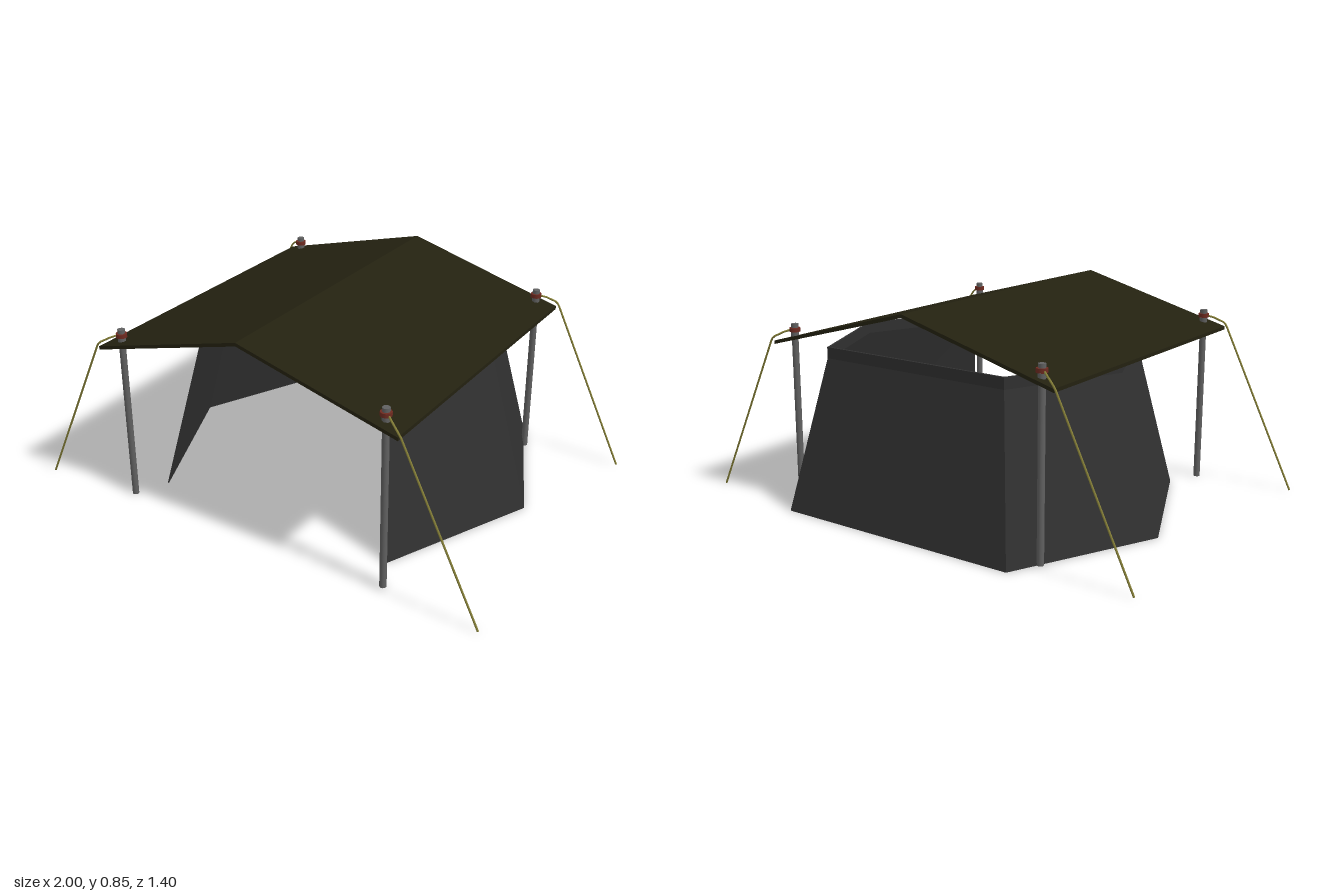
import * as THREE from 'three';

const mat = (name, color, extra = {}) => {
  const m = new THREE.MeshStandardMaterial({ color, ...extra });
  m.name = name;
  return m;
};

export function createModel() {
  const group = new THREE.Group();
  const olive = mat('olive canvas', 0x232110);
  const charcoal = mat('charcoal canvas', 0x303030, { side: THREE.DoubleSide });
  const steel = mat('grey steel', 0x606060);
  const red = mat('dull red', 0x6e2a20);
  const cord = mat('yellow cord', 0x857f38);

  const add = (name, geometry, material, parent = group) => {
    const mesh = new THREE.Mesh(geometry, material);
    mesh.name = name;
    parent.add(mesh);
    return mesh;
  };

  // Gabled roof sheet: a thin chevron extruded from back to front
  const gable = new THREE.Shape([
    [-0.665, 0.651], [0, 0.831], [0.665, 0.651],
    [0.665, 0.665], [0, 0.845], [-0.665, 0.665],
  ].map(([x, y]) => new THREE.Vector2(x, y)));
  const roof = new THREE.ExtrudeGeometry(gable, { depth: 1.315, bevelEnabled: false });
  add('roof', roof.translate(0, 0, -0.615), olive);

  // Wall: five upright stations of a hexagon left open at the front.
  // Each ring is [y, side x, corner x, corner z offset], outside then inside.
  const t = 0.01, zc = -0.09;
  const outer = [[0, 0.805, 0.53, 0.61], [0.615, 0.632, 0.425, 0.475], [0.66, 0.632, 0.425, 0.475]];
  const inner = outer.map(([y, a, b, c]) => [y, a - t, b - t * 0.6, c - t]).reverse();
  const rings = [...outer, ...inner].map(([y, a, b, c], i) => {
    const front = outer[i < 3 ? i : 5 - i][3]; // both skins end on the same front line
    return [[b, y, zc + front], [a, y, zc - 0.01], [b, y, zc - c],
      [-b, y, zc - c], [-a, y, zc - 0.01], [-b, y, zc + front]];
  });
  const pos = [];
  const quad = (a, b, c, d) => pos.push(...a, ...b, ...c, ...a, ...c, ...d);
  rings.forEach((ring, i) => {
    const next = rings[(i + 1) % 6];
    for (let s = 0; s < 5; s++) quad(ring[s], ring[s + 1], next[s + 1], next[s]);
  });
  // Close the two front edges
  for (const i of [0, 1]) {
    quad(rings[5 - i][0], rings[i][0], rings[i + 1][0], rings[4 - i][0]);
    quad(rings[i][5], rings[5 - i][5], rings[4 - i][5], rings[i + 1][5]);
  }
  const wall = new THREE.BufferGeometry();
  wall.setAttribute('position', new THREE.Float32BufferAttribute(pos, 3));
  wall.computeVertexNormals();
  add('tentWall', wall, charcoal);

  // Corner poles with clamps and guy ropes
  for (const sx of [1, -1]) {
    for (const [pz, rz] of [[0.65, 0.698], [-0.574, -0.622]]) {
      const corner = new THREE.Group();
      corner.name = (pz > 0 ? 'front' : 'back') + (sx > 0 ? 'Left' : 'Right') + 'Corner';
      group.add(corner);
      const x = sx * 0.59;
      const ring = (name, r, y0, y1, m) => add(name,
        new THREE.CylinderGeometry(r, r, y1 - y0, 12).translate(x, (y0 + y1) / 2, pz), m, corner);
      ring('pole', 0.0135, 0, 0.722, steel);
      ring('poleCap', 0.015, 0.722, 0.736, steel);
      ring('clampCollar', 0.016, 0.685, 0.702, steel);
      ring('clampRing', 0.022, 0.704, 0.72, red);

      // Rope runs from the clamp over the eave corner to the ground
      const pts = [[0.595, 0.714, pz], [0.625, 0.703, pz + (rz - pz) * 0.5],
        [0.665, 0.681, rz], [0.675, 0.667, rz], [0.997, 0.002, rz]]
        .map(([px, y, z]) => new THREE.Vector3(sx * px, y, z));
      const path = new THREE.CurvePath();
      for (let i = 1; i < pts.length; i++) path.add(new THREE.LineCurve3(pts[i - 1], pts[i]));
      add('guyRope', new THREE.TubeGeometry(path, 60, 0.004, 6), cord, corner);
    }
  }
  return group;
}
